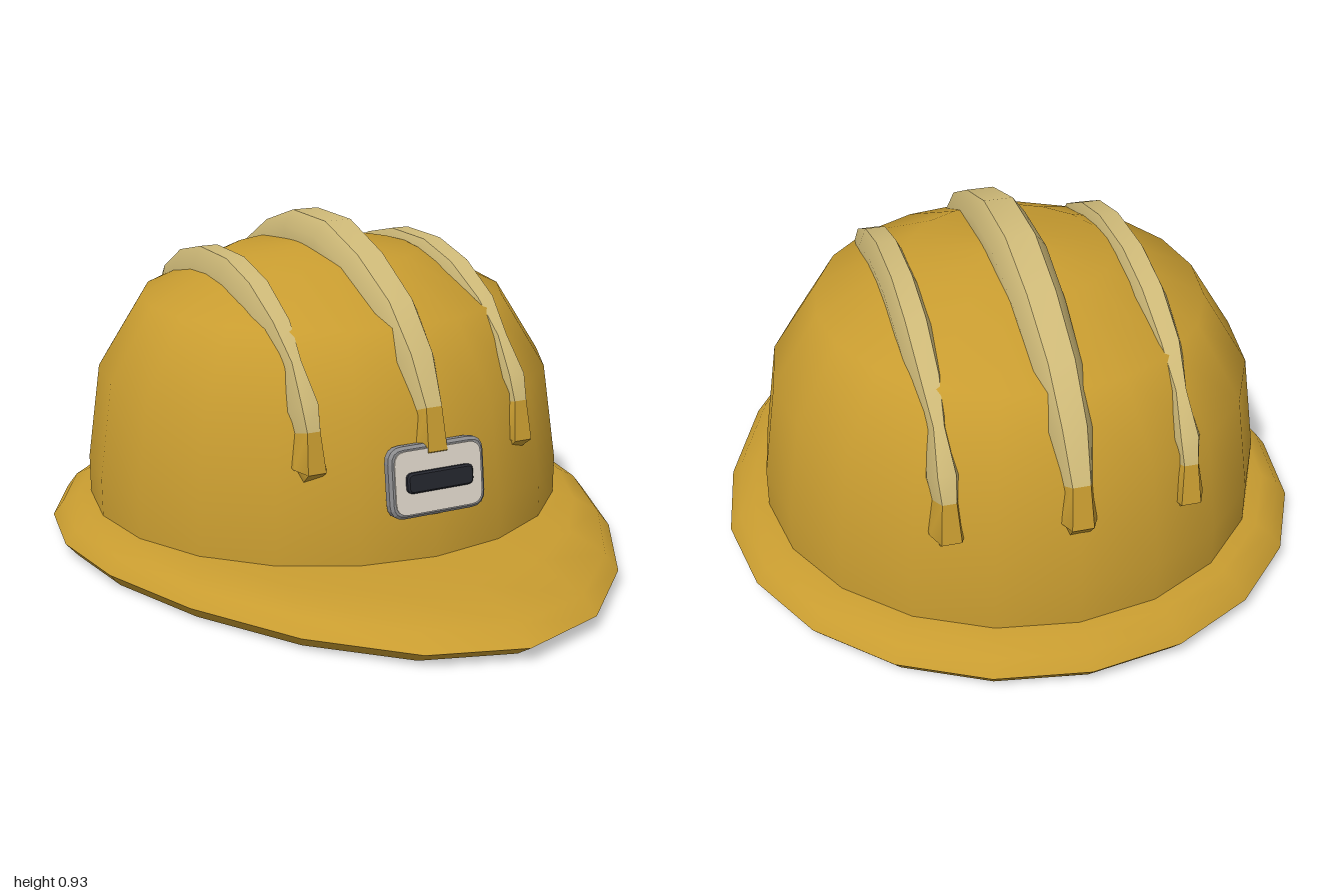
import * as THREE from 'three';
import { toCreasedNormals } from 'three/addons/utils/BufferGeometryUtils.js';

const mat = (name, color) => {
  const m = new THREE.MeshStandardMaterial({ color });
  m.name = name;
  return m;
};
const CZ = -0.18; // centre of the dome
const SIDES = 20;

function mesh(name, geometry, material) {
  const m = new THREE.Mesh(geometry, material);
  m.name = name;
  return m;
}

const lathe = (pts) => new THREE.LatheGeometry(pts.map(([r, y]) => new THREE.Vector2(r, y)), SIDES);

// Brim: a turned rim whose front is stretched into a peak
function brimGeometry() {
  const rings = [ // radius, height, forward stretch
    [0, 0, 0], [0.785, 0, 0.33], [0.82, 0.04, 0.355], [0.79, 0.08, 0.33],
    [0.745, 0.103, 0.15], [0.69, 0.11, 0],
  ];
  const g = lathe(rings);
  const p = g.attributes.position;
  for (let i = 0; i < p.count; i++) {
    const [r, , stretch] = rings[i % rings.length];
    const c = r > 0 ? Math.max(0, p.getZ(i) / r) : 0;
    p.setZ(i, p.getZ(i) + stretch * Math.pow(c, 2.5));
  }
  return toCreasedNormals(g, 0.9);
}

// Sweep a bevelled strip along stations [z, y, halfWidth, tangentZ, tangentY]
function ribGeometry(stations) {
  const pos = [], index = [], N = 6;
  for (const [z, y, w, tz, ty] of stations) {
    const section = [[-w, 0.1], [-w, 0.045], [-w * 0.55, 0], [w * 0.55, 0], [w, 0.045], [w, 0.1]];
    for (const [x, d] of section) pos.push(x, y + tz * d, z - ty * d);
  }
  for (let i = 0; i < stations.length - 1; i++) {
    for (let k = 0; k < N; k++) {
      const a = i * N + k, b = i * N + (k + 1) % N;
      index.push(a, b, b + N, a, b + N, a + N);
    }
  }
  const last = (stations.length - 1) * N;
  for (let k = 1; k < N - 1; k++) {
    index.push(0, k + 1, k, last, last + k, last + k + 1);
  }
  const g = new THREE.BufferGeometry();
  g.setAttribute('position', new THREE.Float32BufferAttribute(pos, 3));
  g.setIndex(index);
  return toCreasedNormals(g, 0.7);
}

// Rib: front half mirrored to the back, pale middle with shell-coloured tips
function rib(name, x, half, pale, shell) {
  const pts = [...half, ...half.map(([z, y, w]) => [-z, y, w]).reverse()];
  const stations = pts.map(([z, y, w], i) => {
    const a = pts[Math.max(0, i - 1)], b = pts[Math.min(pts.length - 1, i + 1)];
    const l = Math.hypot(b[0] - a[0], b[1] - a[1]);
    return [z, y, w, (b[0] - a[0]) / l, (b[1] - a[1]) / l];
  });
  const group = new THREE.Group();
  group.name = name;
  group.position.set(x, 0, CZ);
  group.add(
    mesh('ribStrip', ribGeometry(stations.slice(2, -2)), pale),
    mesh('ribFrontTip', ribGeometry(stations.slice(0, 3)), shell),
    mesh('ribBackTip', ribGeometry(stations.slice(-3)), shell),
  );
  return group;
}

// Rounded plate with a small bevel, centred on the origin
function plate(w, h, r, depth, bevel) {
  const s = new THREE.Shape();
  const a = w / 2 - bevel, b = h / 2 - bevel;
  s.moveTo(-a + r, -b);
  s.lineTo(a - r, -b).quadraticCurveTo(a, -b, a, -b + r);
  s.lineTo(a, b - r).quadraticCurveTo(a, b, a - r, b);
  s.lineTo(-a + r, b).quadraticCurveTo(-a, b, -a, b - r);
  s.lineTo(-a, -b + r).quadraticCurveTo(-a, -b, -a + r, -b);
  const g = new THREE.ExtrudeGeometry(s, {
    depth: depth - 2 * bevel, bevelEnabled: bevel > 0, bevelSize: bevel,
    bevelThickness: bevel, bevelSegments: 1, curveSegments: 4,
  });
  return g.translate(0, 0, bevel - depth / 2);
}

export function createModel() {
  const shell = mat('shellGold', 0xc89c30);
  const pale = mat('paleTan', 0xcfba78);
  const white = mat('plateWhite', 0xe0d8cc);
  const grey = mat('frameGrey', 0x8c8c8e);
  const black = mat('slotBlack', 0x24262e);

  const model = new THREE.Group();
  model.name = 'hardHat';

  // Shell
  const brim = mesh('brim', brimGeometry(), shell);
  const dome = mesh('dome', lathe([
    [0.705, 0.08], [0.705, 0.22], [0.665, 0.5], [0.535, 0.71], [0.28, 0.83], [0, 0.865],
  ]), shell);
  brim.position.z = dome.position.z = CZ;
  model.add(brim, dome);

  // Ribs
  model.add(rib('centreRib', 0, [
    [0.67, 0.37, 0.045], [0.705, 0.41, 0.052], [0.68, 0.525, 0.043], [0.61, 0.655, 0.058],
    [0.49, 0.775, 0.064], [0.31, 0.87, 0.07], [0.11, 0.932, 0.074],
  ], pale, shell));
  const sideHalf = [
    [0.59, 0.34, 0.04], [0.628, 0.37, 0.048], [0.608, 0.48, 0.034], [0.585, 0.55, 0.043],
    [0.505, 0.645, 0.025], [0.41, 0.735, 0.044], [0.26, 0.812, 0.05], [0.1, 0.85, 0.05],
  ];
  for (const [name, side] of [['leftRib', 1], ['rightRib', -1]]) {
    model.add(rib(name, side * 0.318, sideHalf, pale, shell));
  }

  // Front badge: grey frame, white face, black slot
  const badge = new THREE.Group();
  badge.name = 'frontBadge';
  badge.position.set(0, 0.333, 0.51);
  badge.rotation.x = -0.13;
  const face = mesh('badgeFace', plate(0.262, 0.172, 0.035, 0.008, 0), white);
  face.position.z = 0.018;
  const slot = mesh('badgeSlot', plate(0.2, 0.056, 0.012, 0.024, 0.005), black);
  slot.position.z = 0.024;
  badge.add(mesh('badgeFrame', plate(0.29, 0.196, 0.035, 0.036, 0.008), grey), face, slot);
  model.add(badge);

  return model;
}
